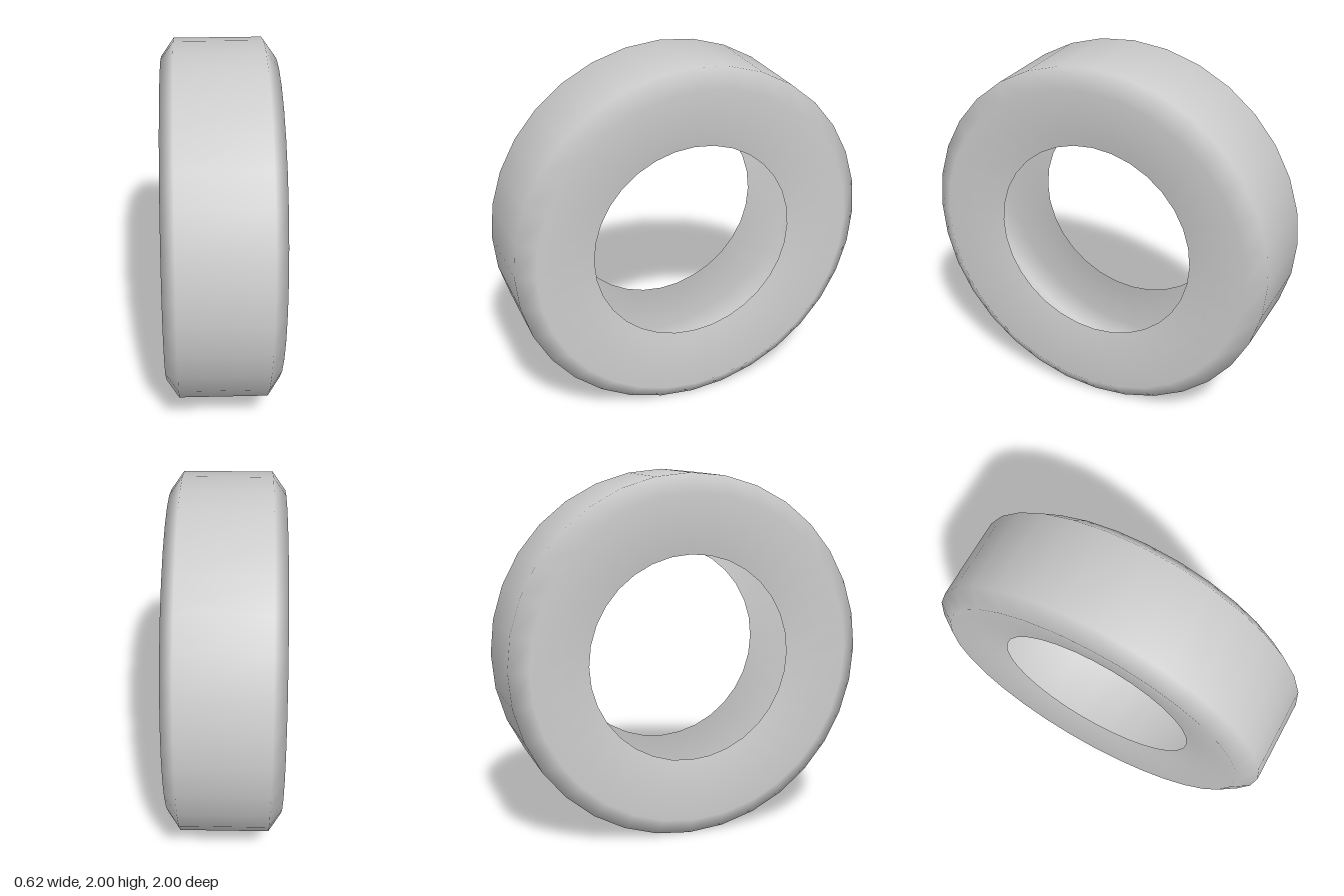
import * as THREE from 'three';

export function createModel() {
  const group = new THREE.Group();
  group.name = 'tyre';

  // Half cross-section as [radius, offset along the axle]: bead, sidewall, shoulder
  const half = [[0.57, 0.25], [0.9, 0.31], [1, 0.24]];
  const profile = [
    ...half.map(([r, x]) => new THREE.Vector2(r, -x)),
    ...half.slice().reverse().map(([r, x]) => new THREE.Vector2(r, x)),
  ];

  // Hollow shell, open towards the hub, turned so the axle runs along x
  const geometry = new THREE.LatheGeometry(profile, 32);
  geometry.rotateZ(-Math.PI / 2);

  const tyre = new THREE.Mesh(
    geometry,
    new THREE.MeshStandardMaterial({ color: 0xcccccc, side: THREE.DoubleSide })
  );
  tyre.name = 'tyreShell';
  tyre.position.y = 1;
  group.add(tyre);
  return group;
}
